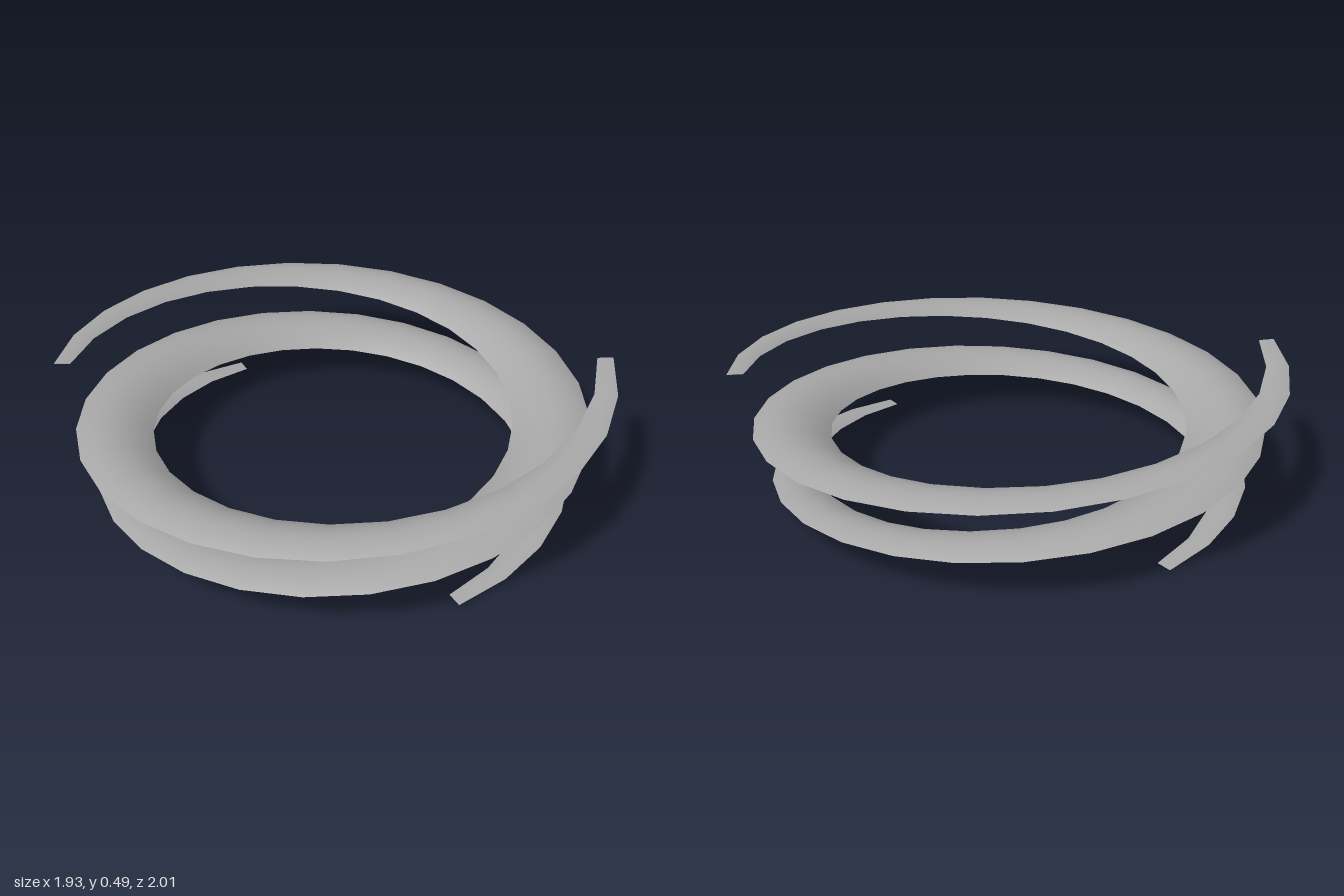
import * as THREE from 'three';
import { ParametricGeometry } from 'three/addons/geometries/ParametricGeometry.js';

const SWEEP = THREE.MathUtils.degToRad(423); // total turn of one strand
const SEGMENTS = 32;

// Point on a strand: t along it, s across (-1 inner, 1 outer), h from underside (0) to top (1)
function strandPoint(t, s, h, target) {
  const angle = t * SWEEP;
  const swell = Math.sin(Math.PI * t); // tapers at both ends
  const width = 0.06 + 0.23 * swell;
  const outer = 0.887 + 0.147 * t - 0.01 * swell; // slowly widening coil
  const r = outer - (width / 2) * (1 - s);
  // The inner rim hangs lower than the outer one; the top is arched
  const lift = 0.001 + 0.036 * swell;
  const y = 0.001 + 0.488 * t + lift * ((s - 1) / 2 + 1.2 * h * (1 - s * s));
  const angleR = angle;
  target.set(r * Math.sin(angleR), y, r * Math.cos(angleR));
}

export function createModel() {
  const group = new THREE.Group();
  group.name = 'doubleSpiral';
  const grey = new THREE.MeshStandardMaterial({ color: 0xa8a8a8 });
  grey.name = 'grey';

  // Separate surfaces keep the inner and outer rims sharp
  const surfaces = {
    top: new ParametricGeometry((u, v, p) => strandPoint(u, 1 - 2 * v, 1, p), SEGMENTS, 6),
    underside: new ParametricGeometry((u, v, p) => strandPoint(u, 2 * v - 1, 0, p), SEGMENTS, 6),
    startCap: new ParametricGeometry((u, v, p) => strandPoint(0, 0.99 * (2 * u - 1), v, p), 6, 1),
    endCap: new ParametricGeometry((u, v, p) => strandPoint(1, 0.99 * (1 - 2 * u), v, p), 6, 1),
  };

  // Two identical strands, half a turn apart
  ['frontStrand', 'backStrand'].forEach((name, i) => {
    const strand = new THREE.Group();
    strand.name = name;
    for (const [part, geometry] of Object.entries(surfaces)) {
      const mesh = new THREE.Mesh(geometry, grey);
      mesh.name = part;
      strand.add(mesh);
    }
    strand.rotation.y = i * Math.PI;
    group.add(strand);
  });
  return group;
}
